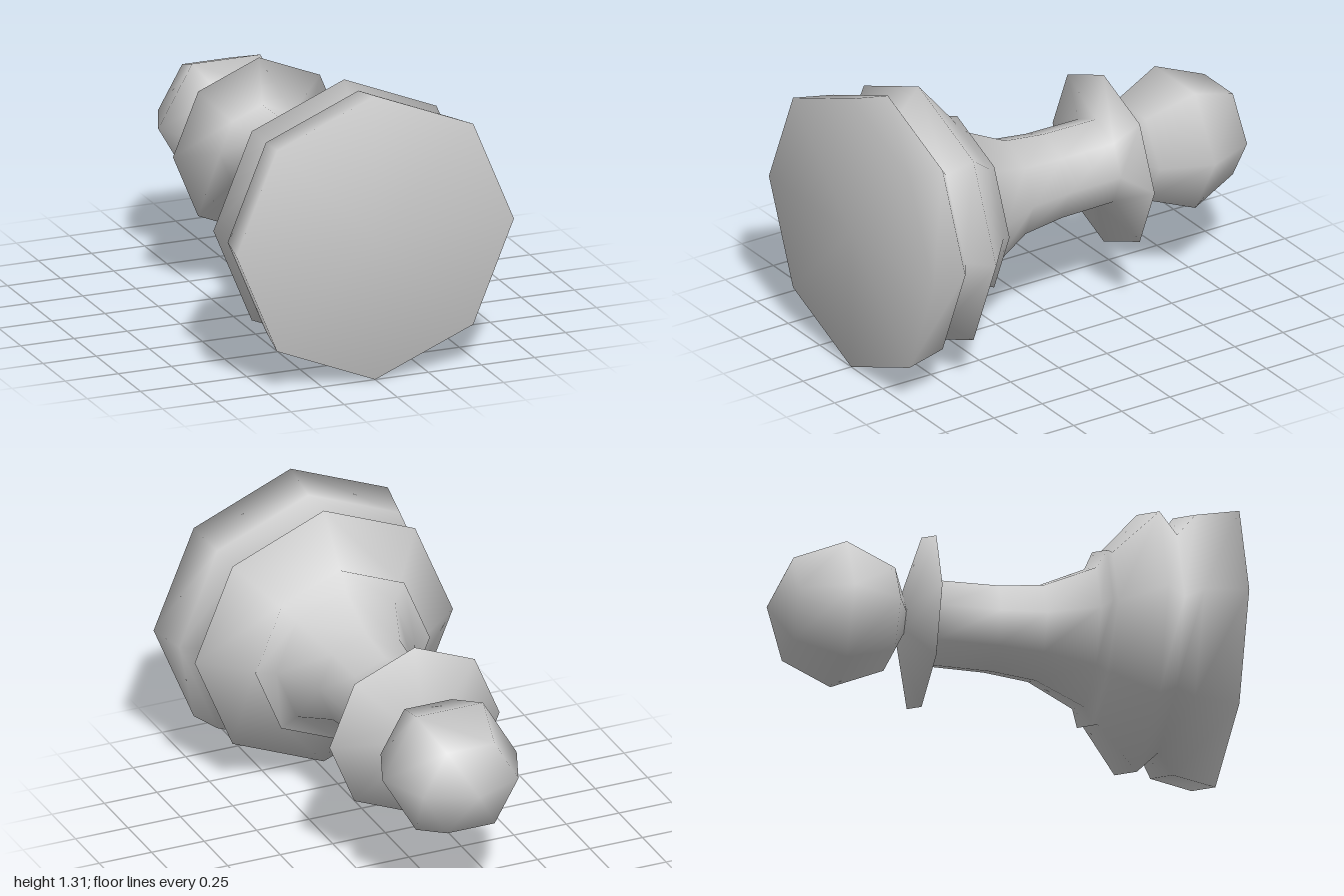
import * as THREE from 'three';

const material = new THREE.MeshStandardMaterial({ color: 0xcccccc });
const AXIS_HEIGHT = 0.653;

// Profiles are [radius, position along the axis], base to tip.
function turned(name, profile, sides) {
  const points = profile.map(([r, h]) => new THREE.Vector2(r, h));
  const mesh = new THREE.Mesh(new THREE.LatheGeometry(points, sides), material);
  mesh.name = name;
  return mesh;
}

export function createModel() {
  const pawn = new THREE.Group();
  pawn.name = 'pawn';

  // Stepped base, flared foot of the stem, stem and sharp collar
  pawn.add(turned('body', [
    [0, -1], [0.653, -1],
    [0.615, -0.81], [0.515, -0.745], [0.615, -0.65],
    [0.407, -0.475], [0.415, -0.45], [0.33, -0.415],
    [0.226, -0.2], [0.203, 0], [0.2, 0.27],
    [0.405, 0.31], [0.125, 0.4], [0, 0.4],
  ], 8));

  // Faceted ball head
  const head = new THREE.Mesh(new THREE.SphereGeometry(0.32, 6, 4), material);
  head.name = 'head';
  head.position.y = 0.68;
  pawn.add(head);

  // Lay the piece down, base to the front
  pawn.rotation.x = -Math.PI / 2;
  pawn.position.y = AXIS_HEIGHT;

  const model = new THREE.Group();
  model.name = 'lyingPawn';
  model.add(pawn);
  return model;
}
